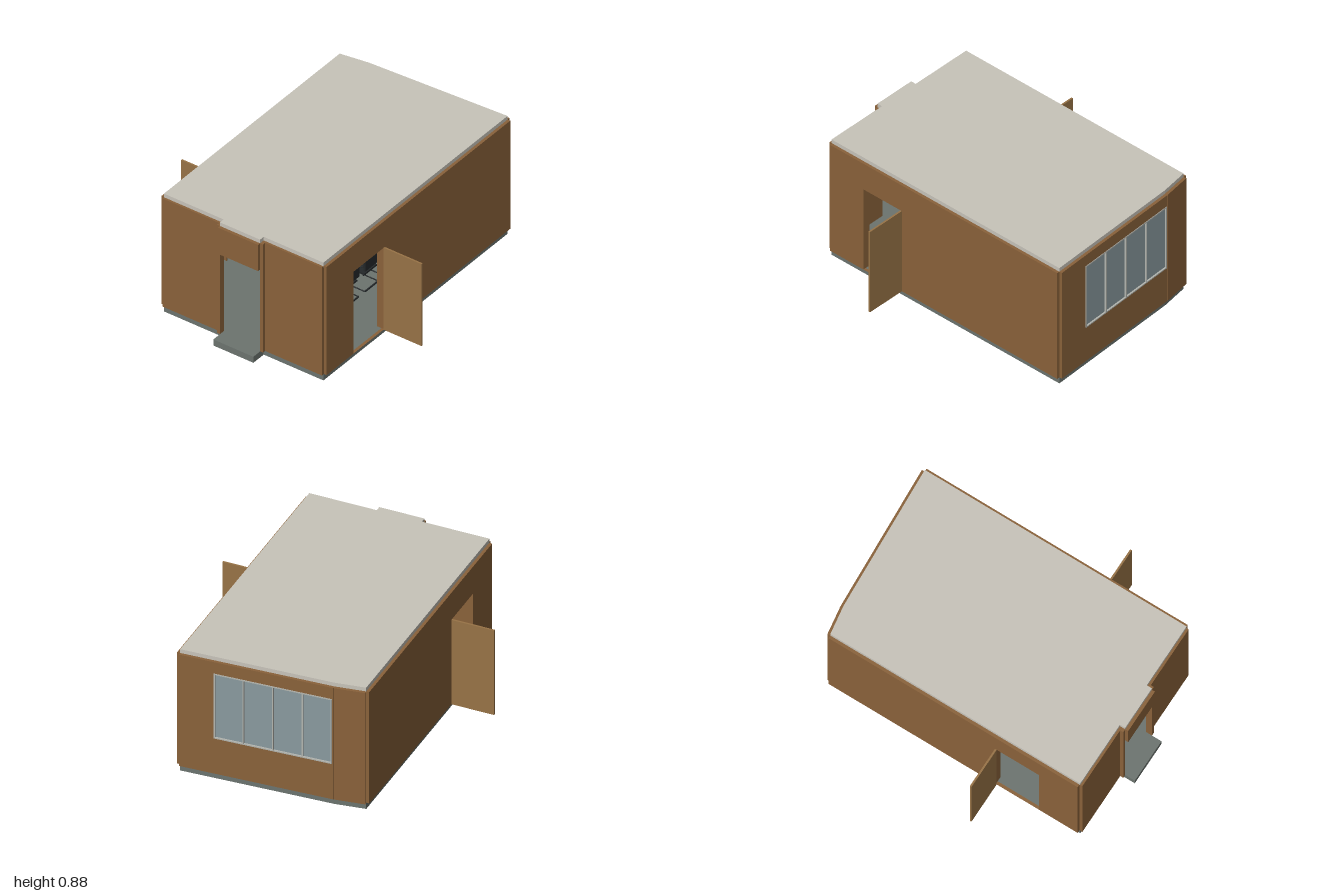
import * as THREE from 'three';

const mat = (color) => new THREE.MeshStandardMaterial({ color });
const M = {
  wall: mat(0x8a623a), door: mat(0x987346), slab: mat(0x6c746f), roof: mat(0xc8c4ba),
  glass: mat(0x8a9a9f), frame: mat(0xb4b6b0), table: mat(0xb08348), chair: mat(0x24282a),
};

const FLOOR = 0.045, WALL_TOP = 0.85, Z = 0.597, T = 0.02, DOOR_TOP = 0.655;
// Inner corners of the angled end
const FRONT = [0.975, Z], BEND = [0.92, -0.4], BACK = [0.89, -Z];

function add(parent, name, geo, material, x = 0, y = 0, z = 0) {
  const m = new THREE.Mesh(geo, material);
  m.name = name;
  m.position.set(x, y, z);
  parent.add(m);
  return m;
}

// Box given by its min and max corners
function box(parent, name, a, b, material) {
  const s = b.map((v, i) => v - a[i]);
  return add(parent, name, new THREE.BoxGeometry(...s), material,
    a[0] + s[0] / 2, a[1] + s[1] / 2, a[2] + s[2] / 2);
}

function rect(type, x0, y0, x1, y1) {
  return new type([[x0, y0], [x1, y0], [x1, y1], [x0, y1]].map((p) => new THREE.Vector2(...p)));
}

// Flat plate from a plan outline of [x, z] points
function plate(parent, name, outline, y, height, material) {
  const shape = new THREE.Shape(outline.map(([x, z]) => new THREE.Vector2(x, -z)));
  const geo = new THREE.ExtrudeGeometry(shape, { depth: height, bevelEnabled: false });
  geo.rotateX(-Math.PI / 2);
  return add(parent, name, geo, material, 0, y, 0);
}

// Group whose x runs along the wall from a to b and whose z points outward
function wallFrame(parent, name, a, b) {
  const g = new THREE.Group();
  g.name = name;
  g.position.set(a[0], 0, a[1]);
  g.rotation.y = Math.atan2(-(b[1] - a[1]), b[0] - a[0]);
  g.userData.length = Math.hypot(b[0] - a[0], b[1] - a[1]);
  parent.add(g);
  return g;
}

// Wall panel with an optional rectangular opening [s0, y0, s1, y1]
function wall(parent, name, a, b, hole) {
  const g = wallFrame(parent, name, a, b), L = g.userData.length;
  const shape = rect(THREE.Shape, 0, FLOOR, L, WALL_TOP);
  if (hole) shape.holes.push(rect(THREE.Path, ...hole));
  add(g, name + 'Panel', new THREE.ExtrudeGeometry(shape, { depth: T, bevelEnabled: false }), M.wall);
  return g;
}

// Long wall with a doorway, jambs and an open door
function doorWall(parent, name, a, b, s0, s1, hinge) {
  const g = wall(parent, name, a, b, [s0, FLOOR + 0.001, s1, DOOR_TOP]);
  for (const [p, q] of [[s0 - 0.01, s0], [s1, s1 + 0.01]])
    box(g, 'doorJamb', [p, FLOOR, -0.035], [q, DOOR_TOP, 0.001], M.wall);
  box(g, 'doorHead', [s0 - 0.01, DOOR_TOP, -0.035], [s1 + 0.01, DOOR_TOP + 0.01, 0.001], M.wall);
  box(g, 'openDoor', [hinge - 0.006, FLOOR, T], [hinge + 0.006, DOOR_TOP, 0.9 - Z], M.door);
}

function window4(parent, s0, y0, s1, y1) {
  const g = new THREE.Group();
  g.name = 'window';
  parent.add(g);
  const n = 4, bar = 0.008, w = (s1 - s0) / n;
  const frame = rect(THREE.Shape, s0, y0, s1, y1);
  for (let i = 0; i < n; i++) {
    const l = s0 + i * w + (i ? bar / 2 : bar), r = s0 + (i + 1) * w - (i < n - 1 ? bar / 2 : bar);
    frame.holes.push(rect(THREE.Path, l, y0 + bar, r, y1 - bar));
    box(g, 'windowPane', [l, y0 + bar, 0.006], [r, y1 - bar, 0.012], M.glass);
  }
  add(g, 'windowFrame', new THREE.ExtrudeGeometry(frame, { depth: T + 0.003, bevelEnabled: false }), M.frame);
}

// Cantilever chair facing +x
function chair(parent, x, z, turn) {
  const g = new THREE.Group();
  g.name = 'chair';
  g.position.set(x, 0, z);
  g.rotation.y = turn;
  parent.add(g);
  box(g, 'seat', [-0.06, 0.163, -0.062], [0.06, 0.175, 0.062], M.chair);
  box(g, 'backrest', [-0.072, 0.2, -0.07], [-0.058, 0.3, 0.07], M.chair);
  for (const s of [-1, 1]) {
    const path = new THREE.CurvePath();
    const pts = [[-0.07, 0.29], [-0.062, 0.224], [0.05, 0.22], [0.07, 0.05], [-0.07, 0.05]]
      .map(([px, py]) => new THREE.Vector3(px, py, s * 0.068));
    for (let i = 1; i < pts.length; i++) path.add(new THREE.LineCurve3(pts[i - 1], pts[i]));
    add(g, 'sideTube', new THREE.TubeGeometry(path, 40, 0.004, 6), M.chair);
  }
  for (const [px, py] of [[-0.055, 0.165], [0.056, 0.165], [-0.068, 0.05]])
    box(g, 'crossTube', [px - 0.004, py - 0.004, -0.068], [px + 0.004, py + 0.004, 0.068], M.chair);
}

function meetingTable(parent) {
  const g = new THREE.Group();
  g.name = 'meetingTable';
  parent.add(g);
  box(g, 'tableTop', [-0.47, 0.245, -0.23], [0.47, 0.257, 0.23], M.table);
  box(g, 'cableCover', [-0.05, 0.257, -0.025], [0.05, 0.26, 0.025], M.table);
  for (const s of [-1, 1])
    box(g, 'tableLeg', [s * 0.24 - 0.01, FLOOR, -0.12], [s * 0.24 + 0.01, 0.245, 0.12], M.table);
  box(g, 'tableBeam', [-0.23, 0.1, -0.01], [0.23, 0.245, 0.01], M.table);
}

export function createModel() {
  const root = new THREE.Group();
  root.name = 'pavilion';

  // Floor and roof share the angled plan; both step out at the entrance
  const plan = (stepX) => [[-0.895, Z], FRONT, BEND, BACK, [-0.895, -Z],
    [-0.895, -0.15], [stepX, -0.15], [stepX, 0.15], [-0.895, 0.15]];
  plate(root, 'floorSlab', plan(-1), 0, FLOOR, M.slab);
  plate(root, 'roof', plan(-0.932), 0.84, 0.037, M.roof);

  // Long walls with open doors
  doorWall(root, 'frontWall', [-0.89, Z], FRONT, 0.275, 0.585, 0.585);
  doorWall(root, 'backWall', BACK, [-0.89, -Z], 1.195, 1.505, 1.195);

  // Angled end with the window
  const end = wall(root, 'windowWall', FRONT, BEND, [0.225, 0.3, 0.99, 0.768]);
  window4(end, 0.225, 0.3, 0.99, 0.768);
  wall(root, 'endWall', BEND, BACK);

  // Entrance end: two walls, side returns and a header
  wall(root, 'entranceWall', [-0.89, -Z], [-0.89, -0.15]);
  wall(root, 'entranceWall', [-0.89, 0.15], [-0.89, Z]);
  for (const s of [-1, 1]) {
    const z = [s * 0.15, s * 0.172].sort((a, b) => a - b);
    box(root, 'entranceReturn', [-0.932, FLOOR, z[0]], [-0.89, WALL_TOP, z[1]], M.wall);
  }
  box(root, 'entranceHeader', [-0.953, DOOR_TOP, -0.15], [-0.932, WALL_TOP, 0.15], M.wall);

  // Meeting furniture
  meetingTable(root);
  for (const s of [-1, 1]) {
    chair(root, s * 0.44, 0, s < 0 ? 0 : Math.PI);
    for (const x of [-0.2, 0.0, 0.2]) chair(root, x, s * 0.23, s * Math.PI / 2);
  }
  return root;
}
